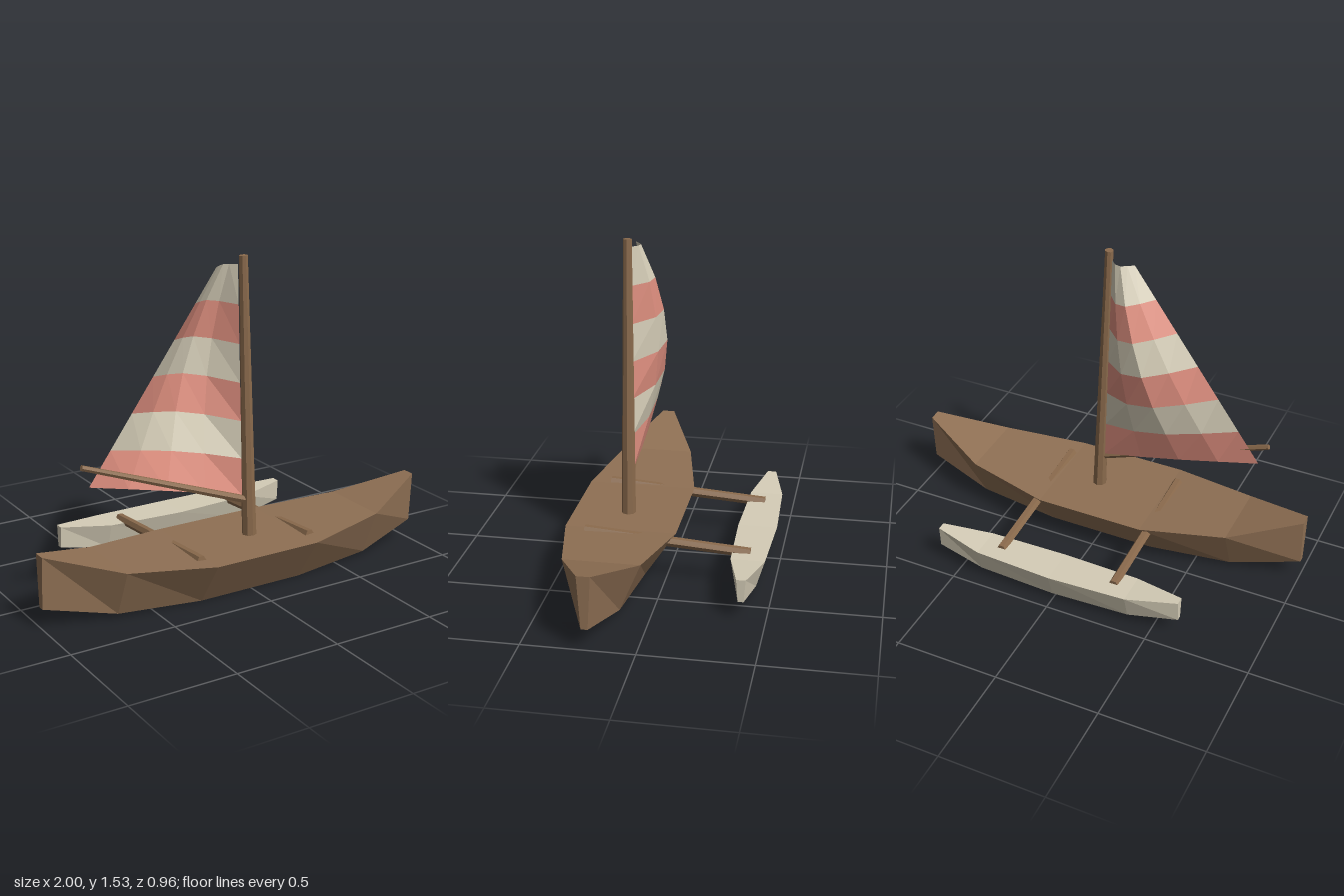
import * as THREE from 'three';

const material = (color, side = THREE.FrontSide) =>
  new THREE.MeshStandardMaterial({ color, flatShading: true, side });

const WOOD = material(0x8f7054);
const SPAR = material(0x8a6a4c);
const CREAM = material(0xd5cdb7);
const SAIL = [material(0xe09080, THREE.DoubleSide), material(0xd8d0ba, THREE.DoubleSide)];

// Faceted geometry from a list of four-cornered faces
function quadGeometry(quads) {
  const pos = [];
  for (const [a, b, c, d] of quads) pos.push(...a, ...b, ...c, ...a, ...c, ...d);
  const g = new THREE.BufferGeometry();
  g.setAttribute('position', new THREE.Float32BufferAttribute(pos, 3));
  g.computeVertexNormals();
  return g;
}

function addMesh(parent, name, geometry, mat) {
  const m = new THREE.Mesh(geometry, mat);
  m.name = name;
  parent.add(m);
  return m;
}

// Boat body lofted through stations [x, topY, bottomY, topHalfWidth, bottomHalfWidth],
// given from midships to bow and mirrored to the stern
function boatBody(half, z) {
  const mirrored = half.filter((s) => s[0] > 0).reverse().map(([x, ...r]) => [-x, ...r]);
  const rings = [...mirrored, ...half].map(([x, top, bottom, wt, wb]) => [
    [x, top, z + wt], [x, bottom, z + wb], [x, bottom, z - wb], [x, top, z - wt],
  ]);
  const quads = [];
  for (let i = 0; i < rings.length - 1; i++) {
    const a = rings[i], b = rings[i + 1];
    for (let j = 0; j < 4; j++) {
      const k = (j + 1) % 4;
      quads.push([a[j], a[k], b[k], b[j]]);
    }
  }
  quads.push([...rings[0]].reverse(), rings[rings.length - 1]);
  return quadGeometry(quads);
}

// Tapered pole between two points
function addPole(parent, name, from, to, r0, r1, sides, turn = 0) {
  const a = new THREE.Vector3(...from), b = new THREE.Vector3(...to);
  const dir = b.clone().sub(a);
  const g = new THREE.CylinderGeometry(r1, r0, dir.length(), sides);
  g.rotateY(turn);
  const m = addMesh(parent, name, g, SPAR);
  m.position.copy(a).add(b).multiplyScalar(0.5);
  m.quaternion.setFromUnitVectors(new THREE.Vector3(0, 1, 0), dir.normalize());
  return m;
}

// Striped sail, bellied towards the back
function createSail() {
  const sail = new THREE.Group();
  sail.name = 'sail';
  const depth = [0.01, 0.06, 0.105, 0.127, 0.12, 0.09, 0.035];
  const belly = [0, 0.82, 1, 0.58, 0];
  const rows = depth.length - 1, cols = belly.length - 1;
  const { lerp } = THREE.MathUtils;
  const point = (i, j) => {
    const v = i / rows, u = j / cols;
    const x = lerp(lerp(0.03, 0.0, v), lerp(-0.75, -0.11, v), u);
    const y = lerp(lerp(0.41, 1.49, v), lerp(0.6, 1.49, v), u);
    return [x, y, 0.208 - depth[i] * belly[j]];
  };
  for (let i = 0; i < rows; i++) {
    const quads = [];
    for (let j = 0; j < cols; j++) {
      quads.push([point(i, j), point(i + 1, j), point(i + 1, j + 1), point(i, j + 1)]);
    }
    addMesh(sail, 'sailStripe', quadGeometry(quads), SAIL[i % 2]);
  }
  return sail;
}

export function createModel() {
  const boat = new THREE.Group();
  boat.name = 'outriggerSailboat';

  // Main hull and side float
  addMesh(boat, 'hull', boatBody([
    [0.265, 0.22, 0.003, 0.26, 0.115],
    [0.67, 0.25, 0.025, 0.175, 0.08],
    [1, 0.345, 0.1, 0.03, 0.015],
  ], 0.218), WOOD);
  addMesh(boat, 'outriggerFloat', boatBody([
    [0, 0.165, 0.035, 0.092, 0.048],
    [0.38, 0.17, 0.045, 0.078, 0.04],
    [0.62, 0.19, 0.085, 0.021, 0.013],
  ], -0.388), CREAM);

  // Cross beams joining hull and float
  for (const x of [-0.292, 0.292]) {
    addPole(boat, 'crossBeam', [x, 0.22, 0.38], [x, 0.165, -0.39], 0.024, 0.023, 6, Math.PI / 6);
  }

  // Mast, boom and sail
  addPole(boat, 'mast', [0.064, 0.15, 0.22], [0.02, 1.53, 0.22], 0.035, 0.02, 8);
  addPole(boat, 'boom', [0.06, 0.385, 0.22], [-0.79, 0.7, 0.22], 0.019, 0.013, 6);
  boat.add(createSail());

  return boat;
}
